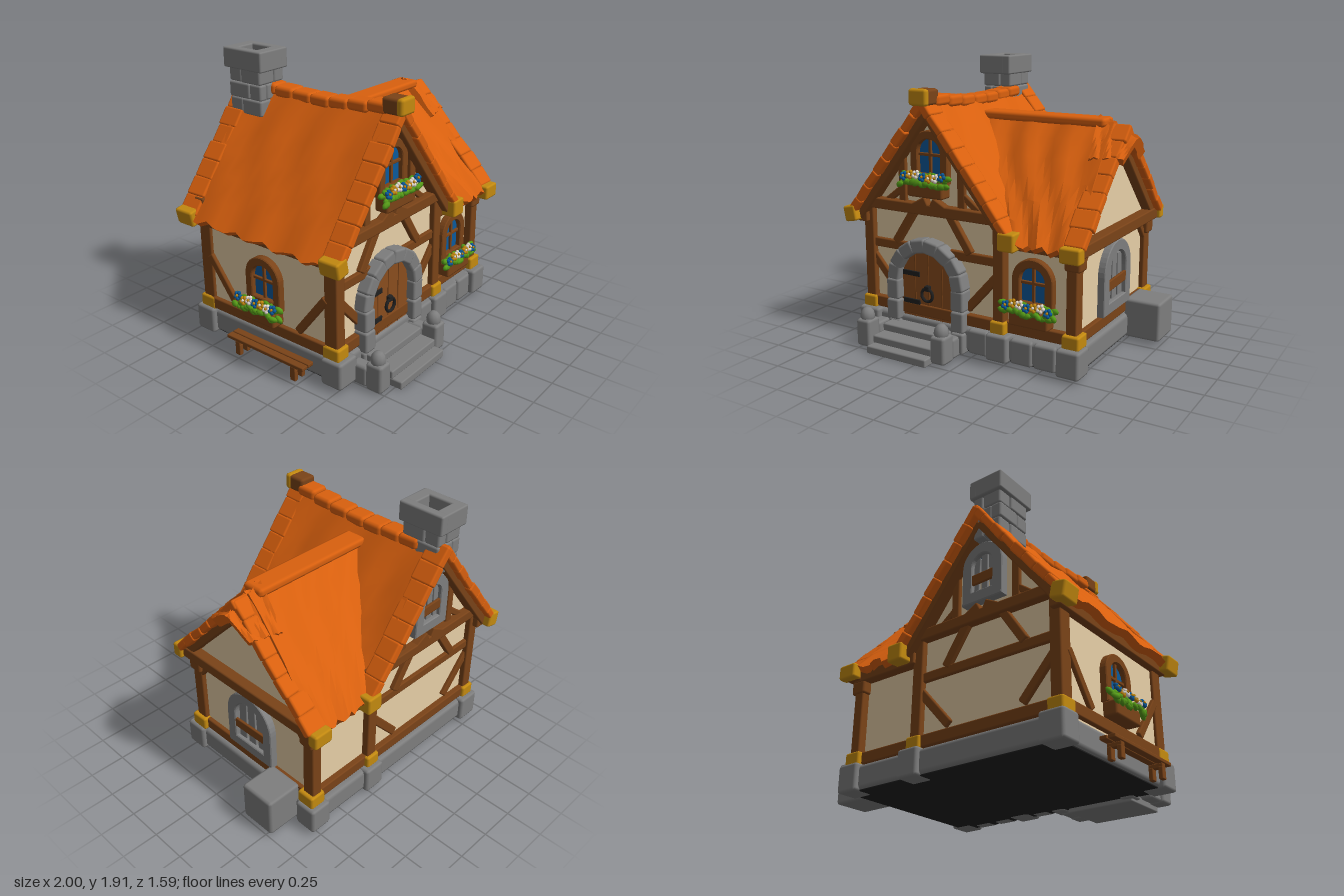
import * as THREE from 'three';
import { toCreasedNormals } from 'three/addons/utils/BufferGeometryUtils.js';
import { RoundedBoxGeometry } from 'three/addons/geometries/RoundedBoxGeometry.js';

const paint = (name, color) => Object.assign(new THREE.MeshStandardMaterial({ color }), { name });
const M = {
  roof: paint('orange roof', 0xd9600e), wall: paint('cream plaster', 0xe8d0a8), beam: paint('brown timber', 0x7a4318),
  door: paint('door wood', 0x8a4d1e), stone: paint('grey stone', 0x7e7e7e), gold: paint('gold caps', 0xc48a10),
  glass: paint('blue glass', 0x0b5a9c), leaf: paint('green leaves', 0x569c18), white: paint('white petals', 0xf0e6da),
  dark: paint('dark underside', 0x202020),
};
let seed = 7;
const rnd = () => (seed = (seed * 16807) % 2147483647) / 2147483647;
const jit = (a) => (rnd() - 0.5) * 2 * a;

function add(parent, name, geo, mat, x = 0, y = 0, z = 0, rx = 0, ry = 0, rz = 0) {
  const m = new THREE.Mesh(geo, mat);
  m.name = name; m.position.set(x, y, z); m.rotation.set(rx, ry, rz);
  parent.add(m);
  return m;
}
function group(parent, name, x = 0, y = 0, z = 0, ry = 0) {
  const g = new THREE.Group();
  g.name = name; g.position.set(x, y, z); g.rotation.y = ry;
  parent.add(g);
  return g;
}
const soft = (w, h, d, r = 0.015) => new RoundedBoxGeometry(w, h, d, 1, Math.min(r, 0.4 * Math.min(w, h, d)));
// Rounded block given by its ranges
const block = (p, name, mat, x0, x1, y0, y1, z0, z1, r) =>
  add(p, name, soft(x1 - x0, y1 - y0, z1 - z0, r), mat, (x0 + x1) / 2, (y0 + y1) / 2, (z0 + z1) / 2);
// Timber between two points of a facade plane
function beam(p, name, x0, y0, x1, y1, z, w = 0.06, d = 0.06, mat = M.beam) {
  const len = Math.hypot(x1 - x0, y1 - y0);
  return add(p, name, soft(len, w, d, 0.01), mat, (x0 + x1) / 2, (y0 + y1) / 2, z, 0, 0, Math.atan2(y1 - y0, x1 - x0));
}
// Uneven roof sheet stretched between four corners: ridge a-b, eave c-d
function sheet(p, name, a, b, c, d, th = 0.05, bump = 0.012) {
  const [A, B, C, D] = [a, b, c, d].map((v) => new THREE.Vector3(...v));
  const n = C.clone().sub(A).cross(B.clone().sub(A)).normalize();
  const g = new THREE.BoxGeometry(1, 1, 1, 14, 1, 6), pos = g.attributes.position;
  for (let i = 0; i < pos.count; i++) {
    const u = pos.getX(i) + 0.5, v0 = pos.getZ(i) + 0.5;
    const v = v0 + v0 * v0 * 0.02 * Math.sin(u * 31);
    const q = A.clone().lerp(B, u).lerp(C.clone().lerp(D, u), v);
    q.addScaledVector(n, pos.getY(i) * th + bump * Math.sin(u * 19 + 2 * Math.sin(v * 5)));
    pos.setXYZ(i, q.x, q.y, q.z);
  }
  add(p, name, toCreasedNormals(g, 0.6), M.roof);
}
// Edge tiles and rafters of a gable, in a facade plane
function gableEdge(p, ax, ay, ends, z, depth, n, rafterZ) {
  for (const [ex, ey] of ends) {
    const len = Math.hypot(ex - ax, ey - ay), ang = Math.atan2(ey - ay, ex - ax), s = Math.sign(ex - ax);
    const nx = -s * Math.abs(Math.sin(ang)), ny = -Math.abs(Math.cos(ang));
    for (let i = 0; i < n; i++) {
      const t = (i + 0.5) / n;
      add(p, 'edgeTile', soft(len / n * 1.04, 0.06 + jit(0.008), depth + jit(0.012), 0.014), M.roof,
        ax + (ex - ax) * t + nx * 0.02, ay + (ey - ay) * t + ny * 0.02, z, 0, jit(0.04), ang + jit(0.05));
    }
    beam(p, 'rafter', ax, ay - 0.1, ex + nx * 0.07, ey + ny * 0.07, rafterZ, 0.06, 0.09);
  }
}
function arch(Type, w, h, y = 0) {
  const s = new Type();
  s.moveTo(-w / 2, y); s.lineTo(w / 2, y); s.lineTo(w / 2, h - w / 2);
  s.absarc(0, h - w / 2, w / 2, 0, Math.PI, false);
  s.lineTo(-w / 2, y);
  return s;
}
const extrude = (s, depth, bevel = 0) => new THREE.ExtrudeGeometry(s, {
  depth, curveSegments: 10, bevelEnabled: bevel > 0, bevelSize: bevel, bevelThickness: bevel, bevelSegments: 1 });
function archFrame(p, name, w, h, t, depth, mat) {
  const s = arch(THREE.Shape, w, h);
  s.holes.push(arch(THREE.Path, w - 2 * t, h - t, t));
  add(p, name, extrude(s, depth, 0.006), mat);
}
// Glazed window with planter and flowers
function flowerWindow(parent, name, x, y, z) {
  const g = group(parent, name, x, y, z);
  archFrame(g, 'windowFrame', 0.28, 0.33, 0.045, 0.04, M.beam);
  add(g, 'glass', extrude(arch(THREE.Shape, 0.22, 0.3, 0.02), 0.008), M.glass, 0, 0, 0.004);
  block(g, 'mullion', M.beam, -0.01, 0.01, 0.02, 0.3, 0, 0.028, 0.004);
  block(g, 'crossbar', M.beam, -0.11, 0.11, 0.165, 0.185, 0, 0.028, 0.004);
  block(g, 'planter', M.beam, -0.14, 0.14, -0.1, 0.0, 0, 0.1);
  const leaf = new THREE.SphereGeometry(0.035, 6, 4), petal = new THREE.SphereGeometry(0.014, 6, 4);
  for (let i = 0; i < 30; i++) {
    const m = add(g, 'leaf', leaf, M.leaf, -0.18 + 0.36 * ((i % 15) / 14), (i < 15 ? -0.005 : 0.035) + jit(0.014),
      (i < 15 ? 0.105 : 0.08) + jit(0.015), jit(0.4), jit(0.4), jit(0.8));
    m.scale.set(1, 0.6, 0.5);
  }
  for (let i = 0; i < 7; i++) {
    const f = group(g, 'flower', -0.15 + i * 0.05, 0.045 + jit(0.014), 0.115);
    f.rotation.x = -0.4;
    const mat = [M.glass, M.gold, M.white][i % 3];
    for (let k = 0; k < 5; k++) add(f, 'petal', petal, mat, 0.019 * Math.cos(k * 1.257), 0.019 * Math.sin(k * 1.257));
    add(f, 'flowerCentre', petal, i % 3 === 1 ? M.white : M.gold, 0, 0, 0.009).scale.setScalar(0.7);
  }
}
// Stone window closed with loose boards
function boardedWindow(parent, name, x, y, z, w, h) {
  const g = group(parent, name, x, y, z);
  archFrame(g, 'stoneFrame', w, h, 0.065, 0.05, M.stone);
  for (let i = -1; i <= 1; i++)
    add(g, 'board', soft(w * 0.17, h * (0.74 - 0.08 * Math.abs(i)), 0.018, 0.005), M.stone, i * w * 0.21, h * 0.46, 0.02, 0, 0, i * 0.05);
  add(g, 'blueGlint', soft(w * 0.05, h * 0.2, 0.008), M.glass, -w * 0.11, h * 0.7, 0.012);
  add(g, 'nailedBoard', soft(w * 0.7, 0.07, 0.02, 0.006), M.beam, 0, h * 0.4, 0.042, 0, 0, 0.03);
}
// Timber framing of the tall gable, centred on the local origin; wall face at z = 0
function gableFrame(g) {
  beam(g, 'crossBeam', -0.57, 0.96, 0.57, 0.96, 0.02, 0.075, 0.08);
  beam(g, 'midRail', -0.5, 0.675, 0.5, 0.675, 0.0, 0.065, 0.05);
  beam(g, 'sill', -0.5, 0.25, 0.5, 0.25, 0.01, 0.08, 0.06);
  for (const s of [-1, 1]) {
    beam(g, 'cornerPost', s * 0.52, 0.2, s * 0.52, 0.97, -0.01, 0.08, 0.1);
    beam(g, 'archBrace', s * 0.02, 1.02, s * 0.15, 0.95, 0.03, 0.065, 0.06);
    beam(g, 'archBrace', s * 0.12, 0.97, s * 0.3, 0.7, 0.01, 0.06, 0.05);
    beam(g, 'upperStud', s * 0.235, 0.98, s * 0.235, 1.34, 0.0, 0.06, 0.05);
    beam(g, 'kneeBrace', s * 0.24, 1.08, s * 0.37, 0.98, 0.0, 0.045, 0.045);
    beam(g, 'lowerBrace', s * 0.27, 0.32, s * 0.52, 0.6, 0.0, 0.06, 0.05);
    block(g, 'postFoot', M.gold, s * 0.52 - 0.055, s * 0.52 + 0.055, 0.2, 0.29, -0.07, 0.06);
  }
}
const polygon = (pts) => new THREE.Shape(pts.map((p) => new THREE.Vector2(...p)));

export function createModel() {
  seed = 7;
  const root = new THREE.Group();
  root.name = 'cottage';
  const CX = -0.32;

  // Plaster walls
  add(root, 'mainWalls', extrude(polygon([[-0.86, 0.1], [0.22, 0.1], [0.22, 0.9], [CX, 1.58], [-0.86, 0.9]]), 1.09), M.wall, 0, 0, -0.64);
  const wing = group(root, 'wingEnd', 0, 0, 0, Math.PI / 2);
  add(wing, 'wingWalls', extrude(polygon([[-0.42, 0.1], [0.63, 0.1], [0.63, 0.85], [0.1, 1.45], [-0.42, 0.85]]), 0.62), M.wall, 0, 0, 0.1);

  // Stone footing
  const base = group(root, 'footing');
  block(base, 'footingSlab', M.stone, -0.88, 0.77, 0.035, 0.2, -0.7, 0.5, 0.03);
  block(base, 'underside', M.dark, -0.86, 0.75, 0.03, 0.038, -0.68, 0.48, 0.001);
  for (const z of [-0.65, 0.46]) for (const [x, w] of [[-0.83, 0.17], [0.21, 0.16], [0.72, 0.16]])
    block(base, 'cornerStone', M.stone, x - w / 2, x + w / 2, 0.025, 0.21, z - 0.08, z + 0.08, 0.02);
  for (const [a, b] of [[-0.02, 0.13], [0.3, 0.46], [0.47, 0.63]]) block(base, 'footingStone', M.stone, a, b, 0.03, 0.2, 0.4, 0.515, 0.02);
  block(base, 'sideBlock', M.stone, 0.74, 1.0, 0.03, 0.305, -0.55, -0.29, 0.02);

  // Tall gable framing, front and back
  const front = group(root, 'frontGable', CX, 0, 0.45), back = group(root, 'backGable', CX, 0, -0.64, Math.PI);
  gableFrame(front); gableFrame(back);
  flowerWindow(front, 'atticWindow', 0, 1.15, 0.0);
  boardedWindow(back, 'backWindow', 0, 1.06, 0.0, 0.3, 0.4);

  // Wing framing
  for (const [z, s] of [[0.43, 1], [-0.64, -1]]) {
    beam(root, 'wingPost', 0.715, 0.2, 0.715, 0.8, z, 0.075, 0.09);
    block(root, 'postHead', M.beam, 0.665, 0.775, 0.7, 0.79, z - 0.055, z + 0.055);
    block(root, 'wingFoot', M.gold, 0.66, 0.78, 0.2, 0.295, z - 0.06, z + 0.07);
    beam(root, 'wingSill', 0.22, 0.25, 0.7, 0.25, z, 0.08, 0.06);
    beam(root, 'wingPlate', 0.22, 0.82, 0.76, 0.82, z + s * 0.02, 0.08, 0.08);
  }
  flowerWindow(root, 'wingWindow', 0.44, 0.4, 0.43);
  beam(wing, 'endBeam', -0.56, 0.83, 0.74, 0.83, 0.745, 0.08, 0.1);
  beam(wing, 'endSill', -0.42, 0.25, 0.62, 0.25, 0.72, 0.08, 0.06);
  beam(wing, 'endBrace', -0.42, 0.66, -0.31, 0.79, 0.72, 0.045);
  beam(wing, 'endBrace', 0.63, 0.66, 0.52, 0.79, 0.72, 0.045);
  boardedWindow(wing, 'endWindow', 0.105, 0.3, 0.715, 0.41, 0.47);

  // Left wall: framing, window and bench
  const left = group(root, 'leftSide', 0, 0, 0, -Math.PI / 2);
  beam(left, 'leftSill', -0.62, 0.25, 0.42, 0.25, 0.86, 0.08);
  beam(left, 'leftPlate', -0.72, 0.86, 0.52, 0.86, 0.87, 0.08, 0.08);
  for (const s of [-1, 1]) beam(left, 'leftBrace', -0.1 + s * 0.27, 0.3, -0.1 + s * 0.5, 0.6, 0.86, 0.055, 0.05);
  flowerWindow(left, 'leftWindow', -0.1, 0.4, 0.86);
  for (const z of [0.92, 0.975]) block(left, 'benchSlat', M.beam, -0.35, 0.31, 0.12, 0.145, z - 0.025, z + 0.025, 0.006);
  for (const x of [-0.26, 0.22]) {
    block(left, 'benchRail', M.beam, x - 0.02, x + 0.02, 0.09, 0.12, 0.9, 0.995, 0.006);
    for (const z of [0.915, 0.98]) block(left, 'benchLeg', M.beam, x - 0.022, x + 0.022, 0.02, 0.1, z - 0.015, z + 0.015, 0.006);
  }

  // Main roof
  const roof = group(root, 'roof');
  sheet(roof, 'mainRoofLeft', [CX, 1.65, -0.68], [CX, 1.65, 0.48], [-0.95, 0.86, -0.68], [-0.95, 0.86, 0.48]);
  sheet(roof, 'mainRoofRight', [CX, 1.65, 0.48], [CX, 1.65, -0.68], [0.32, 0.85, 0.48], [0.32, 0.85, -0.68]);
  const ends = [[-0.95, 0.9], [0.33, 0.88]];
  gableEdge(roof, CX, 1.7, ends, 0.505, 0.15, 8, 0.49);
  gableEdge(roof, CX, 1.7, ends, -0.705, 0.15, 8, -0.69);
  for (let i = 0; i < 7; i++) {
    const sag = 0.035 * Math.sin((i + 0.5) / 7 * Math.PI);
    add(roof, 'ridgeTile', soft(0.14, 0.075, 0.155, 0.025), M.roof, CX, 1.685 - sag - i * 0.004, 0.4 - i * 0.15, jit(0.04), 0, jit(0.03));
  }
  block(roof, 'peakBlock', M.beam, -0.39, -0.26, 1.65, 1.755, 0.44, 0.57, 0.02);
  block(roof, 'peakCap', M.gold, -0.395, -0.255, 1.65, 1.76, 0.55, 0.6, 0.02);
  for (const [z, s] of [[0.53, 1], [-0.73, -1]]) {
    add(roof, 'eaveCap', soft(0.1, 0.11, 0.15), M.gold, -0.93, 0.88, z - s * 0.02, 0, 0, 0.2);
    add(roof, 'eaveCap', soft(0.12, 0.12, 0.15), M.gold, 0.31, 0.85, z - s * 0.015);
  }

  // Wing roof with drooping hood
  sheet(roof, 'wingRoofFront', [-0.24, 1.53, -0.1], [0.72, 1.53, -0.1], [0.28, 0.82, 0.54], [0.76, 0.82, 0.54], 0.05, 0.015);
  sheet(roof, 'wingRoofBack', [0.72, 1.53, -0.1], [-0.24, 1.53, -0.1], [0.76, 0.84, -0.73], [0.28, 0.84, -0.73], 0.05, 0.015);
  add(roof, 'wingRidge', soft(0.92, 0.06, 0.16, 0.025), M.roof, 0.22, 1.54, -0.1);
  gableEdge(wing, 0.1, 1.53, [[-0.54, 0.88], [0.73, 0.88]], 0.755, 0.15, 7, 0.74);
  sheet(roof, 'hoodFront', [0.6, 1.56, -0.11], [0.87, 1.43, -0.11], [0.64, 1.32, 0.12], [0.85, 1.32, 0.06], 0.07, 0.008);
  sheet(roof, 'hoodBack', [0.87, 1.43, -0.09], [0.6, 1.56, -0.09], [0.85, 1.32, -0.26], [0.64, 1.32, -0.32], 0.07, 0.008);
  block(roof, 'wingCap', M.gold, 0.68, 0.82, 0.78, 0.88, 0.51, 0.59);
  block(roof, 'wingCapBack', M.gold, 0.68, 0.82, 0.79, 0.89, -0.78, -0.71);

  // Chimney
  const chimney = group(root, 'chimney');
  for (let r = 0; r < 3; r++) {
    const y = 1.48 + r * 0.105, zs = r % 2 ? -0.55 : -0.62, xs = r % 2 ? -0.42 : -0.35;
    for (const [x0, x1] of [[-0.49, xs], [xs, -0.27]]) for (const [z0, z1] of [[-0.73, zs], [zs, -0.45]])
      block(chimney, 'chimneyStone', M.stone, x0 + jit(0.006), x1 + jit(0.006), y, y + 0.105, z0, z1, 0.014);
  }
  for (const [x0, x1, z0, z1] of [[-0.51, -0.445, -0.755, -0.42], [-0.32, -0.255, -0.755, -0.42], [-0.47, -0.3, -0.755, -0.67], [-0.47, -0.3, -0.505, -0.42]])
    block(chimney, 'chimneyCap', M.stone, x0, x1, 1.78, 1.915, z0, z1, 0.012);

  // Door, stone arch and steps
  const entry = group(root, 'entrance', -0.35, 0, 0.45);
  add(entry, 'door', extrude(arch(THREE.Shape, 0.46, 0.68, 0.14), 0.03), M.door);
  for (const x of [-0.11, 0, 0.11]) block(entry, 'plankGap', M.beam, x - 0.004, x + 0.004, 0.15, 0.65, 0.025, 0.034, 0.002);
  for (const y of [0.3, 0.5]) block(entry, 'hinge', M.dark, -0.21, -0.07, y - 0.018, y + 0.018, 0.025, 0.039, 0.004);
  add(entry, 'doorRing', new THREE.TorusGeometry(0.045, 0.011, 6, 16), M.dark, 0, 0.37, 0.05);
  block(entry, 'ringPlate', M.dark, -0.02, 0.02, 0.395, 0.435, 0.025, 0.06, 0.008);
  for (const s of [-1, 1]) for (let i = 0; i < 3; i++)
    block(entry, 'jambStone', M.stone, s * 0.262 - 0.05, s * 0.262 + 0.05, 0.02 + i * 0.145, 0.165 + i * 0.145, -0.03, 0.09 + jit(0.008), 0.016);
  for (let i = 0; i < 8; i++) {
    const a = Math.PI * (i + 0.5) / 8;
    add(entry, 'archStone', soft(0.095, 0.118, 0.12, 0.016), M.stone, 0.262 * Math.cos(a), 0.45 + 0.262 * Math.sin(a), 0.03 + jit(0.006), 0, 0, a);
  }
  [[0.24, 0.35, 0, 0.055], [0.24, 0.28, 0.05, 0.105], [0.24, 0.17, 0.1, 0.155]].forEach(([w, z, y0, y1]) =>
    block(entry, 'step', M.stone, -w - 0.05, w - 0.05, y0, y1, 0, z, 0.01));
  for (const x of [-0.37, 0.24]) {
    block(entry, 'stepPost', M.stone, x - 0.055, x + 0.055, 0.01, 0.2, 0.17, 0.29, 0.02);
    const top = add(entry, 'postTop', new THREE.SphereGeometry(0.05, 10, 6), M.stone, x, 0.215, 0.23);
    top.scale.y = 1.25;
    block(entry, 'postBase', M.stone, x - 0.045, x + 0.045, 0.01, 0.15, 0.04, 0.17, 0.02);
  }
  return root;
}
